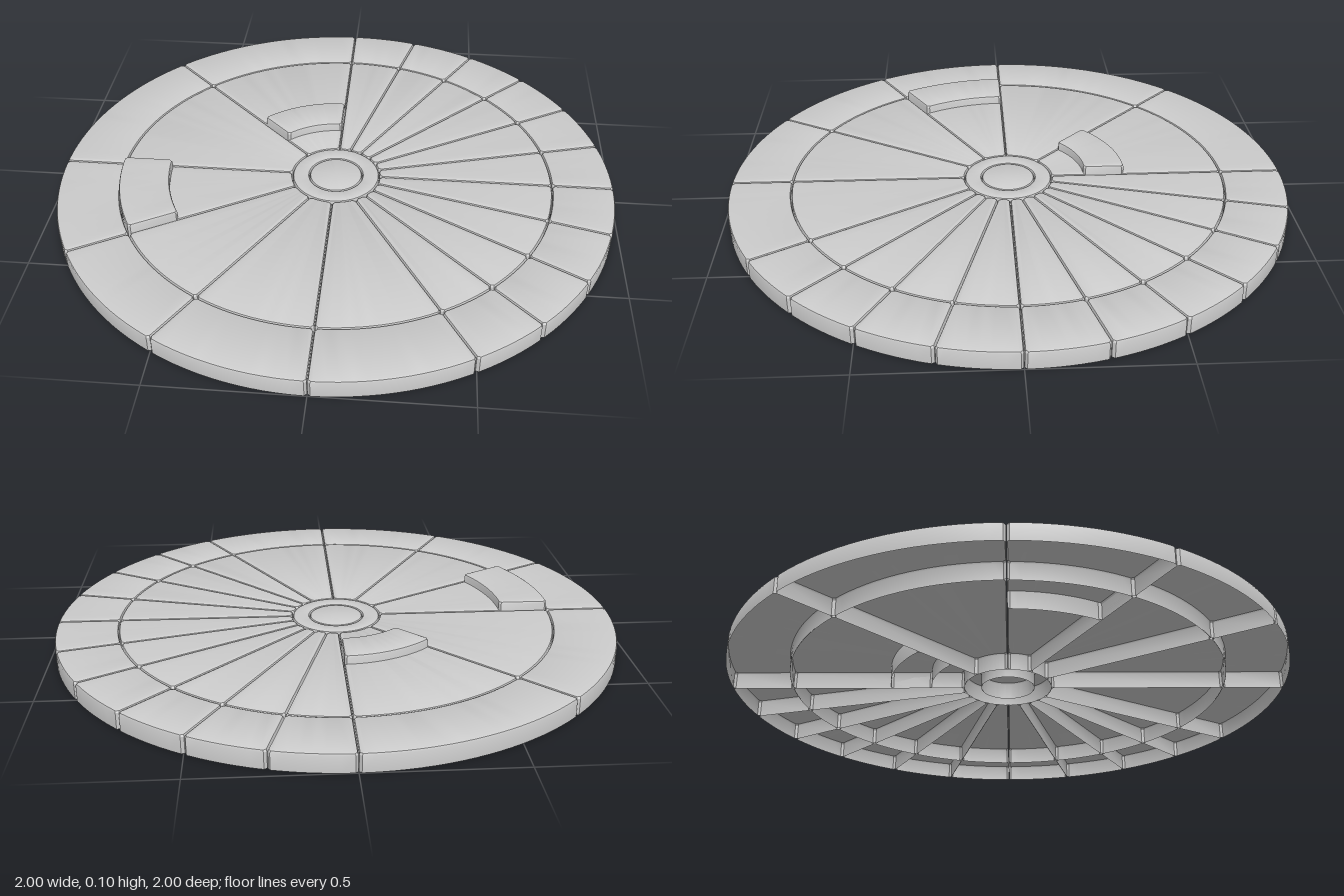
import * as THREE from 'three';
import { mergeVertices, toCreasedNormals } from 'three/addons/utils/BufferGeometryUtils.js';

const H = 0.064, RAISED = 0.096;   // tile and raised block heights
const BEVEL = 0.009, CORNER = 0.008, GAP = 0.001;
const R_HUB = 0.158, R_MID = 0.78, R_RIM = 1;

const material = new THREE.MeshStandardMaterial({ color: 0xcccccc, side: THREE.DoubleSide });

// Levels of every shell: [inset, height], open at the bottom, rounded on top
const levels = (h) => [
  [GAP, 0], [GAP, h - BEVEL], [GAP + BEVEL * 0.3, h - BEVEL * 0.3], [GAP + BEVEL, h],
];

// One edge of a ring sector as a row of points, its ends cut at the corners.
// dir is 1 for the outer edge and -1 for the inner edge.
function edgeRow(radius, a0, a1, inset, y, dir, n) {
  const row = [];
  const r = radius - dir * inset;
  const rCut = r - dir * CORNER;
  const at = (rad, a) => row.push([rad * Math.cos(a), y, -rad * Math.sin(a)]);
  const offset = Math.asin((inset + CORNER) / r);
  at(rCut, a0 + Math.asin(inset / rCut));
  for (let i = 0; i <= n; i++) at(r, THREE.MathUtils.lerp(a0 + offset, a1 - offset, i / n));
  at(rCut, a1 - Math.asin(inset / rCut));
  return row;
}

// Hollow ring-sector tile with bevelled top edges, angles in degrees
function tile(name, r0, r1, deg0, deg1, h) {
  const a0 = THREE.MathUtils.degToRad(deg0), a1 = THREE.MathUtils.degToRad(deg1);
  const n = Math.max(4, Math.round((deg1 - deg0) / 2.5));
  const positions = [], index = [];
  const count = 2 * (n + 3);
  const rings = levels(h);
  for (const [inset, y] of rings) {
    const outer = edgeRow(r1, a0, a1, inset, y, 1, n);
    const inner = edgeRow(r0, a0, a1, inset, y, -1, n);
    positions.push(...[...outer, ...inner.reverse()].flat());
  }
  // side walls and bevel
  for (let k = 0; k < rings.length - 1; k++) {
    for (let i = 0; i < count; i++) {
      const a = k * count + i, b = k * count + (i + 1) % count;
      index.push(a, b, b + count, a, b + count, a + count);
    }
  }
  // top face between the outer and inner edge
  const top = (rings.length - 1) * count;
  for (let i = 0; i < n + 2; i++) {
    const o = top + i, p = top + count - 1 - i;
    index.push(p, o, o + 1, p, o + 1, p - 1);
  }
  const geometry = new THREE.BufferGeometry();
  geometry.setAttribute('position', new THREE.Float32BufferAttribute(positions, 3));
  geometry.setIndex(index);
  return mesh(name, geometry);
}

function mesh(name, geometry) {
  geometry.deleteAttribute('uv');
  geometry.deleteAttribute('normal');
  const m = new THREE.Mesh(toCreasedNormals(mergeVertices(geometry, 1e-5), 0.45), material);
  m.name = name;
  return m;
}

// Hollow turned part of the hub; r0 = 0 gives a solid-topped disc
function hubPart(name, r0, r1) {
  const outer = levels(H).map(([d, y]) => new THREE.Vector2(r1 - d, y));
  const inner = r0 > 0
    ? levels(H).reverse().map(([d, y]) => new THREE.Vector2(r0 + d, y))
    : [new THREE.Vector2(0, H)];
  return mesh(name, new THREE.LatheGeometry([...outer, ...inner], 72));
}

export function createModel() {
  const model = new THREE.Group();
  model.name = 'segmentedDisc';

  // Radial joints, counter-clockwise from +x as seen from above
  const joints = [0, 15, 30, 45, 60, 75, 90, 135, 180, 210, 240, 270, 300, 315, 330, 345, 360];
  const innerTiles = new THREE.Group();
  innerTiles.name = 'innerTiles';
  const rimTiles = new THREE.Group();
  rimTiles.name = 'rimTiles';
  for (let i = 0; i < joints.length - 1; i++) {
    innerTiles.add(tile('innerTile', R_HUB, R_MID, joints[i], joints[i + 1], H));
    rimTiles.add(tile('rimTile', R_MID, R_RIM, joints[i], joints[i + 1], H));
  }
  model.add(innerTiles, rimTiles);

  // Raised blocks standing up through two of the wide tiles
  model.add(tile('raisedInnerBlock', 0.275, 0.425, 90, 135, RAISED));
  model.add(tile('raisedOuterBlock', 0.6, R_MID, 180, 210, RAISED));

  // Hub
  model.add(hubPart('hubRing', 0.096, R_HUB));
  model.add(hubPart('hubCap', 0, 0.096));
  return model;
}
